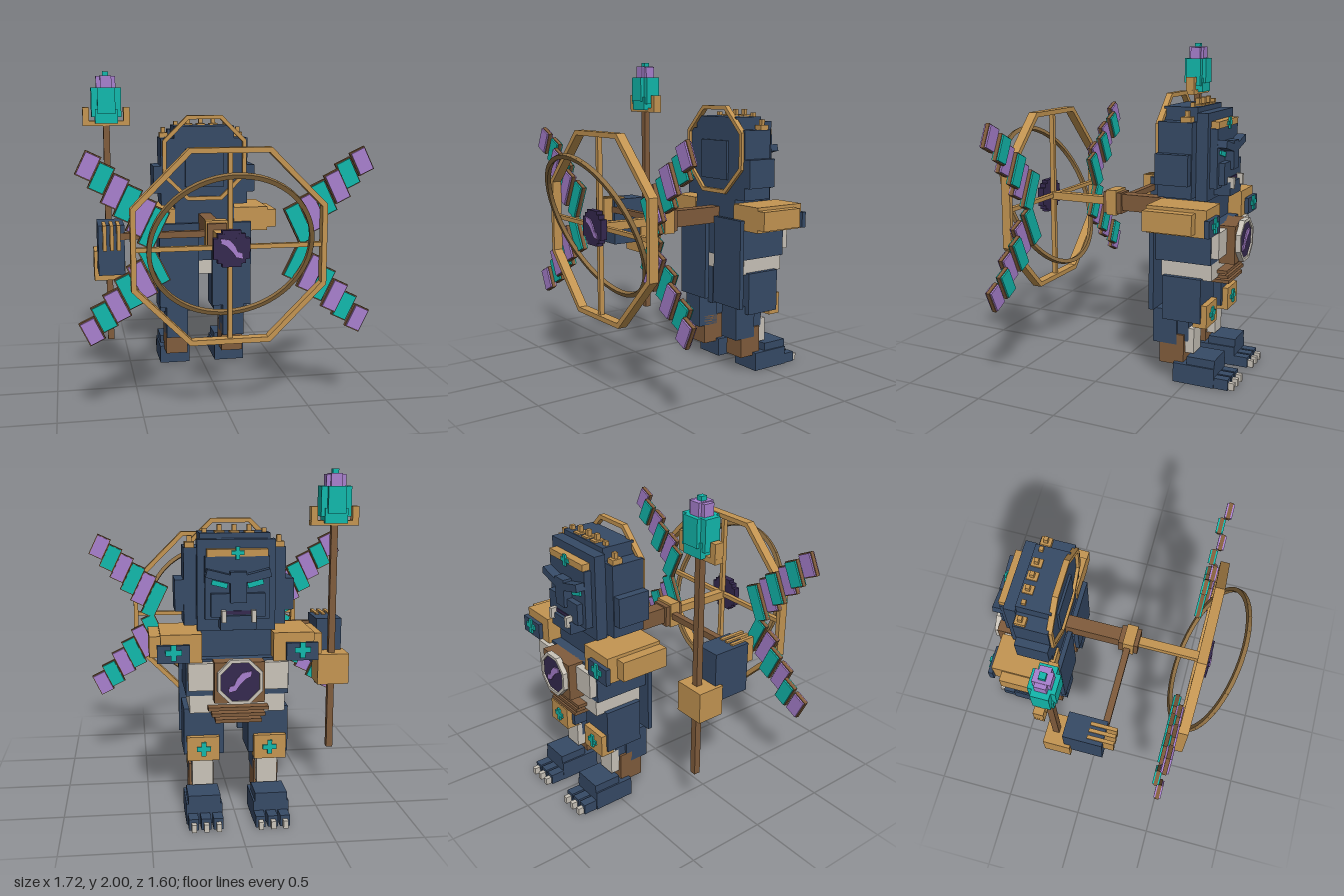
import * as THREE from 'three';

const mat = (name, color) => {
  const m = new THREE.MeshStandardMaterial({ color });
  m.name = name;
  return m;
};

export function createModel() {
  const root = new THREE.Group();
  root.name = 'guardian';
  const navy = mat('navy', 0x364a66), gold = mat('gold', 0xc49552), brown = mat('brown', 0x805c3c);
  const teal = mat('teal', 0x12b8ac), lilac = mat('lilac', 0xa880ce), dark = mat('dark purple', 0x35294f);
  const cream = mat('cream', 0xc9c3b9), bronze = mat('bronze', 0x8f6f42);

  const add = (name, geo, m, x = 0, y = 0, z = 0, parent = root) => {
    const mesh = new THREE.Mesh(geo, m);
    mesh.name = name;
    mesh.position.set(x, y, z);
    parent.add(mesh);
    return mesh;
  };
  // Box given by its limits on each axis
  const box = (name, m, x0, x1, y0, y1, z0, z1) =>
    add(name, new THREE.BoxGeometry(x1 - x0, y1 - y0, z1 - z0), m, (x0 + x1) / 2, (y0 + y1) / 2, (z0 + z1) / 2);
  // Box centred on x = 0
  const mid = (name, m, w, ...r) => box(name, m, -w, w, ...r);
  // Left and right copies
  const pair = (name, m, x0, x1, ...r) => {
    box(name + 'Left', m, x0, x1, ...r);
    box(name + 'Right', m, -x1, -x0, ...r);
  };
  const octagon = (C, apothem) => {
    const s = new C(), r = apothem / Math.cos(Math.PI / 8);
    for (let i = 0; i < 8; i++) {
      const a = (i + 0.5) * Math.PI / 4;
      s[i ? 'lineTo' : 'moveTo'](r * Math.cos(a), r * Math.sin(a));
    }
    s.closePath();
    return s;
  };
  const octRing = (name, m, apothem, bar, y, z0, depth) => {
    const s = octagon(THREE.Shape, apothem);
    s.holes.push(octagon(THREE.Path, apothem - bar));
    return add(name, new THREE.ExtrudeGeometry(s, { depth, bevelEnabled: false }), m, 0, y, z0);
  };
  // Jagged inlay used on the hub and the medallion
  const inlay = (name, y, z) => {
    const s = new THREE.Shape([[-0.065, 0.06], [-0.01, 0.05], [0.02, 0.015], [0.035, -0.02], [0.06, -0.025], [0.065, -0.06],
      [0.025, -0.05], [0, -0.015], [-0.03, 0.015], [-0.06, 0.03]].map(p => new THREE.Vector2(...p)));
    add(name, new THREE.ExtrudeGeometry(s, { depth: 0.008, bevelEnabled: false }), lilac, 0, y, z);
  };
  const cross = (name, x, y, z, r) => {
    box(name + 'Bar', teal, x - r, x + r, y - r / 3, y + r / 3, z - 0.01, z);
    box(name + 'Post', teal, x - r / 3, x + r / 3, y - r, y + r, z - 0.012, z);
  };

  // Torso, cape and belt
  mid('torso', navy, 0.29, 0.75, 0.96, -0.645, -0.3);
  mid('neck', navy, 0.2, 0.95, 1.14, -0.58, -0.31);
  mid('waist', cream, 0.27, 0.65, 0.75, -0.645, -0.33);
  pair('cape', navy, 0.045, 0.31, 0.44, 1.01, -0.295, -0.265);
  pair('chestPlate', cream, 0.1, 0.28, 0.79, 0.945, -0.69, -0.6);
  for (let i = 0; i < 3; i++) mid('beltStrip' + i, brown, 0.17 - i * 0.02, 0.675 - i * 0.035, 0.695 - i * 0.035, -0.705, -0.6);

  // Medallion
  const disc = (name, m, r, z0, d) =>
    add(name, new THREE.ExtrudeGeometry(octagon(THREE.Shape, r), { depth: d, bevelEnabled: false }), m, 0, 0.855, z0);
  mid('medallionBlock', brown, 0.14, 0.73, 0.96, -0.74, -0.6);
  disc('medallionFace', dark, 0.115, -0.76, 0.03);
  octRing('medallionRim', cream, 0.125, 0.018, 0.855, -0.77, 0.035);
  inlay('medallionInlay', 0.855, -0.767);

  // Shoulders with badges
  pair('shoulder', gold, 0.2, 0.43, 0.945, 1.105, -0.665, -0.3);
  pair('shoulderOuter', gold, 0.42, 0.49, 0.965, 1.085, -0.6, -0.3);
  pair('shoulderBadge', navy, 0.27, 0.45, 0.95, 1.05, -0.69, -0.66);
  for (const s of [-1, 1]) cross('shoulderCross' + s, s * 0.36, 1.01, -0.69, 0.045);

  // Legs and clawed feet
  pair('thigh', navy, 0.07, 0.3, 0.39, 0.66, -0.59, -0.35);
  pair('kneeGuard', gold, 0.1, 0.285, 0.36, 0.5, -0.625, -0.54);
  pair('calf', navy, 0.12, 0.265, 0.225, 0.44, -0.43, -0.275);
  pair('ankle', brown, 0.12, 0.265, 0.1, 0.29, -0.475, -0.32);
  pair('shin', cream, 0.13, 0.25, 0.18, 0.335, -0.535, -0.48);
  pair('shinCore', navy, 0.13, 0.25, 0.25, 0.4, -0.5, -0.4);
  pair('foot', navy, 0.09, 0.295, 0, 0.12, -0.68, -0.42);
  pair('instep', navy, 0.1, 0.285, 0.1, 0.17, -0.68, -0.505);
  for (const x of [0.12, 0.19, 0.26]) {
    pair('toe', navy, x - 0.028, x + 0.028, 0, 0.065, -0.765, -0.66);
    pair('claw', cream, x - 0.014, x + 0.014, 0, 0.045, -0.8, -0.76);
  }
  for (const s of [-1, 1]) cross('kneeCross' + s, s * 0.19, 0.43, -0.625, 0.04);

  // Head: stepped mane, face, crown
  mid('maneTall', navy, 0.2, 1.08, 1.65, -0.52, -0.31);
  mid('maneMiddle', navy, 0.29, 1.13, 1.57, -0.52, -0.31);
  mid('maneWide', navy, 0.34, 1.21, 1.39, -0.515, -0.31);
  mid('headBackPanel', navy, 0.13, 1.25, 1.5, -0.31, -0.295);
  mid('faceBase', navy, 0.22, 1.11, 1.62, -0.59, -0.52);
  mid('face', navy, 0.18, 1.18, 1.53, -0.635, -0.59);
  mid('browBand', gold, 0.17, 1.53, 1.57, -0.64, -0.58);
  cross('browGem', 0, 1.55, -0.64, 0.035);
  mid('nose', navy, 0.045, 1.28, 1.45, -0.69, -0.63);
  mid('muzzle', navy, 0.15, 1.2, 1.33, -0.67, -0.63);
  mid('chin', navy, 0.1, 1.13, 1.21, -0.69, -0.58);
  mid('mouth', dark, 0.09, 1.215, 1.235, -0.675, -0.66);
  pair('fang', cream, 0.07, 0.095, 1.175, 1.24, -0.71, -0.66);
  for (const s of [-1, 1]) {
    const brow = box('brow' + s, navy, s * 0.11 - 0.07, s * 0.11 + 0.07, 1.405, 1.45, -0.69, -0.63);
    const eye = box('eye' + s, teal, s * 0.1 - 0.045, s * 0.1 + 0.045, 1.365, 1.393, -0.645, -0.63);
    brow.rotation.z = eye.rotation.z = s * 0.25;
  }
  for (let i = -3; i <= 3; i++) {
    const x = i * 0.085, top = [1.68, 1.68, 1.66, 1.62][Math.abs(i)];
    box('crownTooth' + i, gold, x - 0.027, x + 0.027, top - 0.09, top - 0.02, -0.51, -0.445);
    box('crownTip' + i, gold, x - 0.013, x + 0.013, top - 0.03, top + 0.015, -0.49, -0.465);
  }
  octRing('halo', gold, 0.28, 0.025, 1.44, -0.325, 0.035);

  // Arm holding the staff
  const sx = -0.645, sz = -0.197;
  box('forearm', navy, -0.725, -0.565, 0.77, 1.08, -0.13, 0.115);
  box('cuff', gold, -0.745, -0.55, 0.69, 0.88, -0.26, -0.09);
  for (const x of [-0.688, -0.645, -0.604]) box('finger', gold, x - 0.011, x + 0.011, 0.935, 1.09, 0.015, 0.182);

  // Staff with lantern
  const sbox = (name, m, w, d, y0, y1) => box(name, m, sx - w / 2, sx + w / 2, y0, y1, sz - d / 2, sz + d / 2);
  sbox('staff', brown, 0.04, 0.04, 0.27, 1.67);
  sbox('staffTray', gold, 0.295, 0.055, 1.665, 1.695);
  for (const s of [-1, 1]) box('trayProng', gold, sx + s * 0.127 - 0.02, sx + s * 0.127 + 0.02, 1.67, 1.78, sz - 0.028, sz + 0.028);
  sbox('lanternBase', teal, 0.14, 0.12, 1.68, 1.77);
  sbox('lanternWide', teal, 0.185, 0.1, 1.72, 1.9);
  sbox('lanternDeep', teal, 0.11, 0.15, 1.74, 1.9);
  sbox('flameWide', lilac, 0.12, 0.065, 1.89, 1.97);
  sbox('flameDeep', lilac, 0.07, 0.1, 1.89, 1.975);
  sbox('flameTip', teal, 0.037, 0.037, 1.97, 2);

  // Axle joining the back to the wheel
  mid('beam', brown, 0.042, 0.965, 1.07, -0.32, 0.06);
  mid('axle', gold, 0.027, 0.99, 1.04, 0.14, 0.56);
  mid('collar', brown, 0.06, 0.945, 1.08, 0.04, 0.165);
  mid('collarBand', gold, 0.068, 0.935, 1.095, 0.07, 0.14);
  box('handleBar', brown, -0.6, -0.06, 0.99, 1.03, 0.08, 0.12);

  // Wheel
  const wy = 1.015;
  octRing('wheelRim', gold, 0.565, 0.03, wy, 0.535, 0.058);
  mid('spokeVertical', gold, 0.013, 0.46, 1.57, 0.55, 0.58);
  mid('spokeHorizontal', gold, 0.555, wy - 0.013, wy + 0.013, 0.55, 0.58);
  for (const [w, h] of [[0.105, 0.06], [0.08, 0.085], [0.055, 0.105]])
    mid('hub', dark, w, wy - h, wy + h, 0.58, 0.62 - h * 0.02 + 0.002);
  inlay('hubInlay', wy, 0.62);

  // Tilted chain ring
  const chain = new THREE.Group();
  chain.name = 'chainRing';
  chain.position.set(0, wy + 0.003, 0.6);
  chain.rotation.x = 0.405;
  root.add(chain);
  const link = new THREE.BoxGeometry(0.026, 0.054, 0.026);
  for (let i = 0; i < 60; i++) {
    const a = i * Math.PI / 30;
    add('chainLink', link, bronze, 0.465 * Math.cos(a), 0.465 * Math.sin(a), 0, chain).rotation.z = a;
  }

  // Four vanes of alternating tiles, mirrored both ways
  for (const s of [-1, 1]) for (const t of [-1, 1]) for (let i = 0; i < 6; i++) {
    const tealTile = i % 2 === 1, len = 0.135 + i * 0.018;
    const x = s * (0.785 - i * 0.072), y = wy + t * (0.47 - i * 0.072), z = tealTile ? 0.48 : 0.51;
    const tile = add(tealTile ? 'tealTile' : 'lilacTile', new THREE.BoxGeometry(0.085, len, 0.045), tealTile ? teal : lilac, x, y, z);
    const edge = add('tileEdge', new THREE.BoxGeometry(0.097, len + 0.012, 0.024), brown, x, y, z);
    tile.rotation.z = edge.rotation.z = -s * t * -0.45;
  }
  return root;
}
